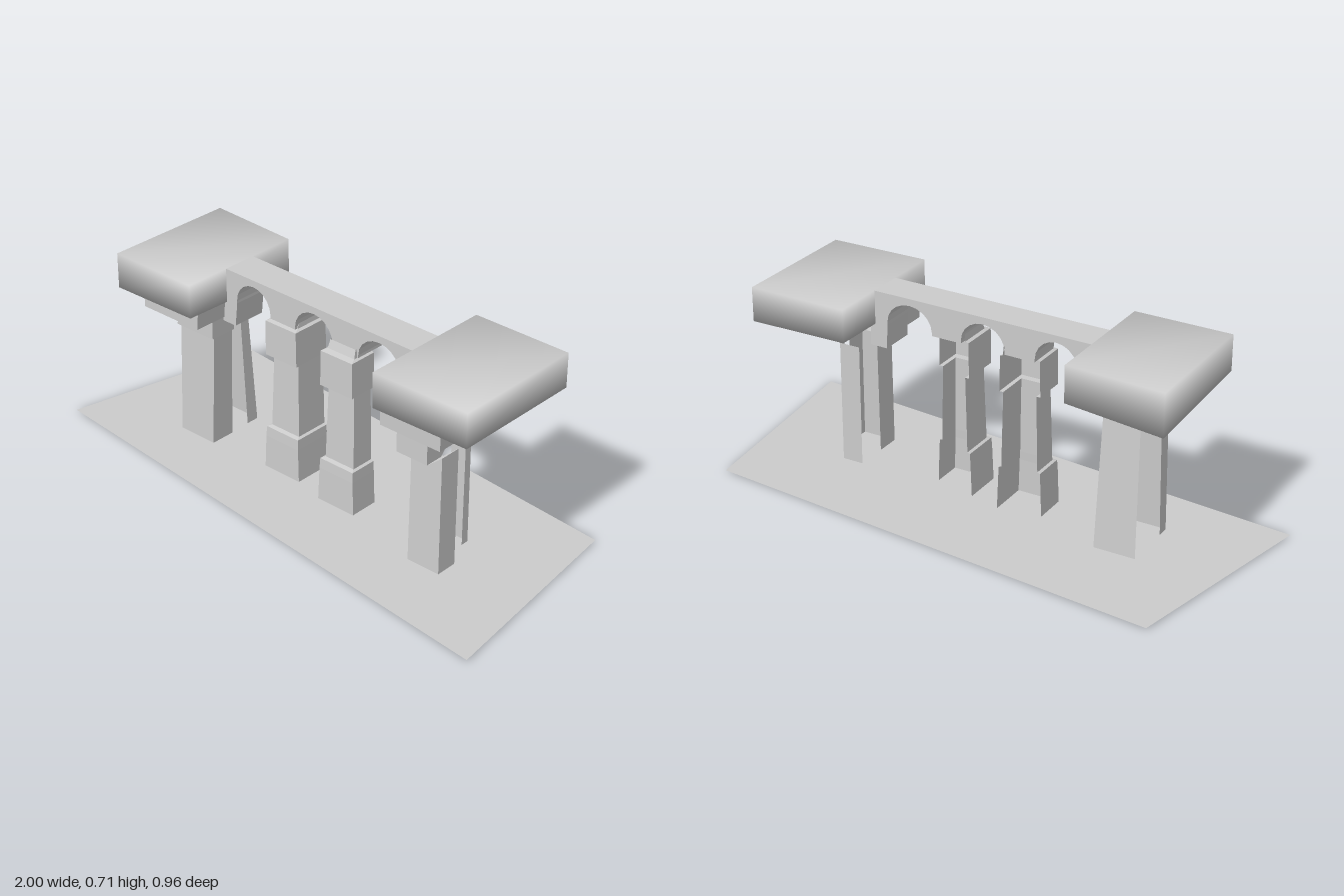
import * as THREE from 'three';
import { mergeVertices } from 'three/addons/utils/BufferGeometryUtils.js';

const solid = new THREE.MeshStandardMaterial({ color: 0xcccccc });
const sheet = new THREE.MeshStandardMaterial({ color: 0xcccccc, side: THREE.DoubleSide });

function add(group, name, geometry, material = sheet) {
  const mesh = new THREE.Mesh(geometry, material);
  mesh.name = name;
  group.add(mesh);
  return mesh;
}

// Open-backed shell. Each level: [y, xMin, xMax, zFront, zEnd at xMin, zEnd at xMax]
function shell(levels) {
  const pos = [], index = [];
  levels.forEach(([y, x0, x1, zf, za, zb], l) => {
    pos.push(x0, y, za, x0, y, zf, x1, y, zf, x1, y, zb);
    if (l === 0) return;
    for (let i = 0; i < 3; i++) {
      const a = (l - 1) * 4 + i, d = l * 4 + i;
      index.push(a, a + 1, d + 1, a, d + 1, d);
    }
  });
  const g = new THREE.BufferGeometry();
  g.setAttribute('position', new THREE.Float32BufferAttribute(pos, 3));
  g.setIndex(index);
  const flat = g.toNonIndexed();
  flat.computeVertexNormals();
  return flat;
}

// Share corners so the shading runs smoothly across them
function smooth(g) {
  g.deleteAttribute('normal');
  g.deleteAttribute('uv');
  const m = mergeVertices(g, 1e-4);
  m.computeVertexNormals();
  return m;
}

// Box whose four corners are [x, z, yBottom]: back left, back right, front right, front left
function slab(top, corners) {
  const g = new THREE.BoxGeometry(1, 1, 1);
  const p = g.attributes.position;
  for (let i = 0; i < p.count; i++) {
    const right = p.getX(i) > 0, front = p.getZ(i) > 0;
    const [x, z, y] = corners[front ? (right ? 2 : 3) : (right ? 1 : 0)];
    p.setXYZ(i, x, p.getY(i) > 0 ? top : y, z);
  }
  return smooth(g);
}

// Beam pierced by three arches, with responds hanging at both ends
function arcade() {
  const s = new THREE.Shape();
  s.moveTo(-0.43, 0.705);
  s.lineTo(-0.43, 0.5);
  s.lineTo(-0.37, 0.5);
  const arches = [[-0.36, -0.2], [-0.085, 0.085], [0.2, 0.38]];
  for (const [a, b] of arches) {
    s.lineTo(a, 0.59);
    const c = (a + b) / 2, r = (b - a) / 2;
    for (let i = 0; i <= 10; i++) {
      const t = Math.PI * (1 - i / 10);
      s.lineTo(c + r * Math.cos(t), 0.6 + 0.08 * Math.sin(t));
    }
    s.lineTo(b, 0.59);
  }
  s.lineTo(0.385, 0.5);
  s.lineTo(0.45, 0.5);
  s.lineTo(0.45, 0.705);
  const g = new THREE.ExtrudeGeometry(s, { depth: 0.13, bevelEnabled: false });
  g.translate(0, 0, -0.06);
  // slight drift toward the front at the +x end
  const p = g.attributes.position;
  for (let i = 0; i < p.count; i++) p.setZ(i, p.getZ(i) + 0.017 * (p.getX(i) + 0.4));
  g.computeVertexNormals();
  return g;
}

// Column with block base, slim shaft and block capital; open at the back
function column(x, zf, backA, backB) {
  const ring = (y, w, inset) => [y, x - w, x + w, zf - inset, backA, backB];
  return shell([
    ring(0, 0.08, 0), ring(0.13, 0.075, 0.002), ring(0.168, 0.073, 0.004),
    ring(0.172, 0.063, 0.02), ring(0.3, 0.06, 0.024), ring(0.455, 0.056, 0.028),
    ring(0.455, 0.071, 0.002), ring(0.585, 0.069, 0.002), ring(0.59, 0.058, 0.025),
    ring(0.62, 0.055, 0.035),
  ]);
}

export function createModel() {
  const model = new THREE.Group();
  model.name = 'arcade';

  // Ground sheet
  const ground = new THREE.BufferGeometry();
  ground.setAttribute('position', new THREE.Float32BufferAttribute([
    -0.84, 0.005, -0.48, -1, 0.005, 0.28, 1, 0.005, 0.48, 0.91, 0.005, -0.31], 3));
  ground.setIndex([0, 1, 2, 0, 2, 3]);
  ground.computeVertexNormals();
  add(model, 'ground', ground);

  // Entablature: two end blocks and the arched beam between
  add(model, 'endBlockRight', slab(0.706,
    [[-0.77, -0.262, 0.55], [-0.41, -0.24, 0.572], [-0.41, 0.245, 0.582], [-0.77, 0.24, 0.575]]), solid);
  add(model, 'endBlockLeft', slab(0.706,
    [[0.43, -0.24, 0.585], [0.805, -0.235, 0.58], [0.805, 0.27, 0.58], [0.43, 0.273, 0.578]]), solid);
  add(model, 'archedBeam', arcade());

  // Middle columns
  add(model, 'columnRight', column(-0.14, 0.09, -0.035, -0.06));
  add(model, 'columnLeft', column(0.138, 0.12, -0.03, 0.01));

  // Right end pier: front shell with stepped impost, and a back plate
  add(model, 'pierFrontRight', shell([
    [0, -0.622, -0.463, 0.105, 0.06, 0.01], [0.43, -0.622, -0.46, 0.09, 0.04, 0],
    [0.43, -0.625, -0.45, 0.105, 0.04, 0], [0.515, -0.615, -0.45, 0.105, 0.04, 0],
    [0.515, -0.685, -0.425, 0.2, -0.02, -0.02], [0.585, -0.685, -0.42, 0.2, -0.02, -0.02]]));
  add(model, 'pierBackRight', shell([
    [0, -0.622, -0.468, -0.125, -0.125, -0.075], [0.49, -0.61, -0.475, -0.092, -0.092, -0.055]]));

  // Left end pier
  add(model, 'pierFrontLeft', shell([
    [0, 0.52, 0.65, 0.192, 0.1, 0.11], [0.43, 0.51, 0.635, 0.172, 0.08, 0.09],
    [0.43, 0.5, 0.625, 0.235, 0.09, 0.165], [0.5, 0.5, 0.625, 0.235, 0.09, 0.1],
    [0.5, 0.43, 0.675, 0.235, -0.03, 0.09], [0.585, 0.43, 0.68, 0.238, -0.03, 0.08]]));
  add(model, 'pierBackLeft', shell([
    [0, 0.52, 0.6, -0.02, -0.02, 0.01], [0.46, 0.52, 0.6, -0.018, -0.018, 0.008]]));

  return model;
}
